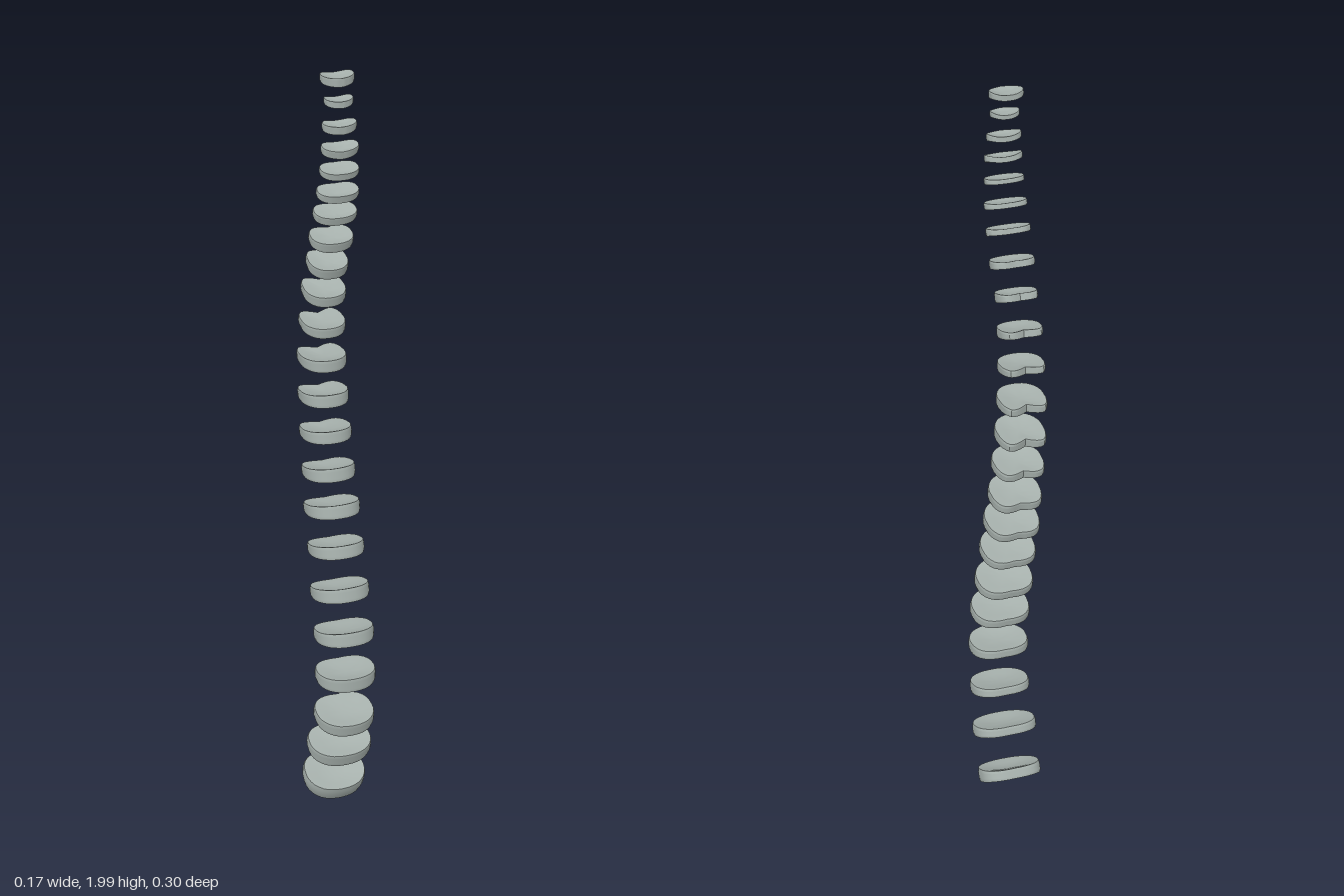
import * as THREE from 'three';
import { toCreasedNormals } from 'three/addons/utils/BufferGeometryUtils.js';

const SEGMENTS = 32;

// One disc per row, bottom to top:
// front z, front y, back z, back y, half width, front thickness
const DISCS = [
  [0.056, 0.026, -0.063, 0.085, 0.083, 0.042],
  [0.100, 0.154, -0.022, 0.195, 0.085, 0.036],
  [0.142, 0.268, 0.011, 0.300, 0.078, 0.034],
  [0.151, 0.408, 0.022, 0.412, 0.078, 0.036],
  [0.140, 0.536, 0.010, 0.515, 0.077, 0.036],
  [0.107, 0.647, -0.020, 0.620, 0.075, 0.036],
  [0.080, 0.757, -0.050, 0.729, 0.071, 0.033],
  [0.050, 0.857, -0.080, 0.829, 0.070, 0.034],
  [0.022, 0.947, -0.101, 0.925, 0.066, 0.034],
  [0.001, 1.042, -0.122, 1.027, 0.064, 0.031],
  [-0.014, 1.135, -0.140, 1.123, 0.061, 0.032],
  [-0.025, 1.225, -0.150, 1.225, 0.059, 0.030],
  [-0.030, 1.312, -0.140, 1.327, 0.056, 0.026],
  [-0.025, 1.397, -0.125, 1.422, 0.054, 0.027],
  [-0.007, 1.477, -0.093, 1.507, 0.051, 0.027],
  [0.017, 1.555, -0.060, 1.579, 0.055, 0.025],
  [0.037, 1.630, -0.027, 1.652, 0.055, 0.021],
  [0.055, 1.692, -0.007, 1.710, 0.053, 0.019],
  [0.065, 1.752, 0.004, 1.768, 0.049, 0.017],
  [0.065, 1.807, 0.013, 1.820, 0.047, 0.020],
  [0.060, 1.866, 0.011, 1.872, 0.043, 0.020],
  [0.055, 1.928, 0.005, 1.930, 0.036, 0.016],
  [0.050, 1.981, -0.010, 1.984, 0.042, 0.021],
];

// Rings from the middle of the upper face, over the rim, to the middle of the
// lower face: [radius factor, height factor]
const RINGS = [
  [0.02, 0.42], [0.3, 0.48], [0.6, 0.68], [0.85, 0.93], [0.97, 1],
  [1, 0.5], [1, -0.5],
  [0.97, -1], [0.85, -0.93], [0.6, -0.68], [0.3, -0.48], [0.02, -0.42],
];

// Unit outline: rounded in front (or pointed), squarer behind, with a notch in
// the back edge; the back always reaches z = -1
function outline(notch, pointed) {
  const points = [];
  for (let i = 0; i < SEGMENTS; i++) {
    const angle = (i / SEGMENTS) * Math.PI * 2;
    const c = Math.cos(angle), s = Math.sin(angle);
    const power = s > 0 && pointed ? 1.3 : 0.85;
    const x = Math.sign(c) * Math.pow(Math.abs(c), power);
    let z = s;
    if (s < 0) {
      z = -Math.pow(-s, 0.8 - notch * 0.4);
      z += notch * Math.max(0, 1 - Math.abs(x) / 0.75) * -s;
    }
    points.push([x, z]);
  }
  const back = -Math.min(...points.map((p) => p[1]));
  return points.map(([x, z]) => [x, z < 0 ? z / back : z]);
}

function discGeometry(width, depth, thickness, points, lift) {
  const positions = [], index = [];
  RINGS.forEach(([r, h], ring) => {
    points.forEach(([px, pz], i) => {
      const x = px * r, z = pz * r;
      // thinner toward the back, rear sides curled upward
      const half = (thickness / 2) * (0.85 + 0.2 * z);
      const y = h * half + lift * x * x * (0.6 - 0.4 * z);
      positions.push(x * width, y, z * depth);
      if (ring > 0) {
        const j = (i + 1) % SEGMENTS;
        const a = (ring - 1) * SEGMENTS, b = ring * SEGMENTS;
        index.push(a + i, a + j, b + i, a + j, b + j, b + i);
      }
    });
  });
  // close the two faces
  const last = (RINGS.length - 1) * SEGMENTS;
  for (let i = 1; i < SEGMENTS - 1; i++) {
    index.push(0, i + 1, i, last, last + i, last + i + 1);
  }
  const geometry = new THREE.BufferGeometry();
  geometry.setAttribute('position', new THREE.Float32BufferAttribute(positions, 3));
  geometry.setIndex(index);
  return toCreasedNormals(geometry, 0.6);
}

export function createModel() {
  const model = new THREE.Group();
  model.name = 'spinalDiscs';
  const material = new THREE.MeshStandardMaterial({ color: 0xa6b0ac });

  DISCS.forEach(([zf, yf, zb, yb, width, thickness], i) => {
    const region = i < 6 ? 'lumbarDisc' : i < 17 ? 'thoracicDisc' : 'cervicalDisc';
    // the notch is deepest in the middle of the back
    const notch = 0.08 + 0.34 * Math.exp(-(((i - 11.5) / 4) ** 2));
    const lift = i > 18 ? 0.008 : 0.002;
    const depth = Math.hypot(zf - zb, yf - yb) / 2;
    const disc = new THREE.Mesh(
      discGeometry(width, depth, thickness, outline(notch, i > 18), lift), material);
    disc.name = region + (i + 1);
    disc.position.set(0, (yf + yb) / 2, (zf + zb) / 2);
    disc.rotation.x = Math.atan2(yb - yf, zf - zb);
    model.add(disc);
  });

  // stand on the ground
  model.position.y = -new THREE.Box3().setFromObject(model, true).min.y;
  return model;
}
